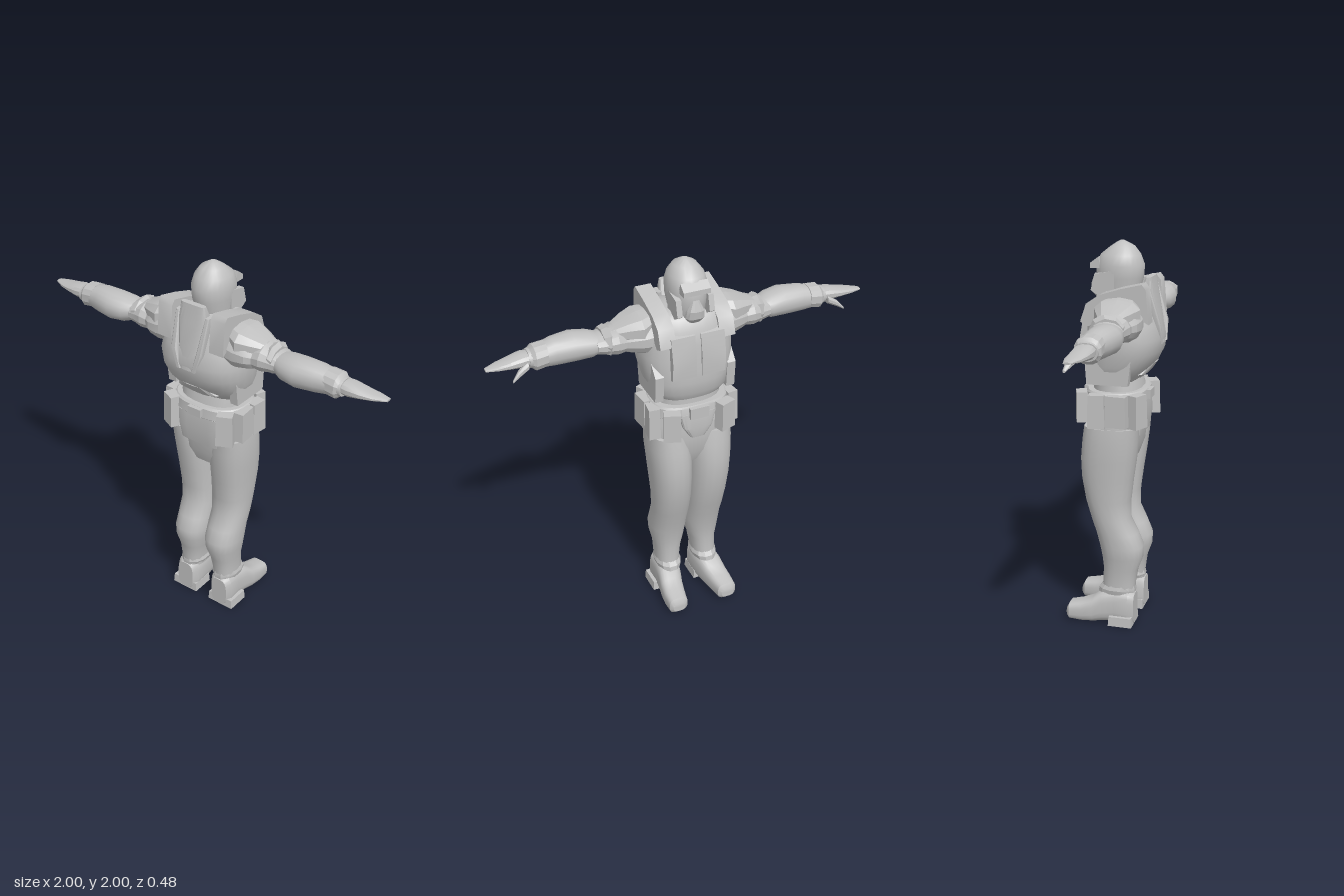
import * as THREE from 'three';
import { toCreasedNormals } from 'three/addons/utils/BufferGeometryUtils.js';

const grey = new THREE.MeshStandardMaterial({ color: 0xc0c0c0 });
grey.name = 'plain grey';

// Closed skin through rounded-box rings; each ring is [t, u0, u1, v0, v1].
// Axis y: u = x, v = z.  Axis x: u = z, v = y.  Axis z: u = y, v = x.
function loft(axis, rings, power = 2.4, n = 20) {
  const pos = [], idx = [];
  const put = (t, u, v) => pos.push(...(axis === 'y' ? [u, t, v] : axis === 'x' ? [t, v, u] : [v, u, t]));
  const round = (c) => Math.sign(c) * Math.pow(Math.abs(c), 2 / power);
  for (const [t, u0, u1, v0, v1] of rings) {
    for (let j = 0; j < n; j++) {
      const a = ((j + 0.5) / n) * Math.PI * 2;
      put(t, (u0 + u1) / 2 + round(Math.cos(a)) * (u1 - u0) / 2, (v0 + v1) / 2 + round(Math.sin(a)) * (v1 - v0) / 2);
    }
  }
  for (let i = 0; i < rings.length - 1; i++) {
    for (let j = 0; j < n; j++) {
      const a = i * n + j, b = i * n + (j + 1) % n;
      idx.push(a, a + n, b, b, a + n, b + n);
    }
  }
  // End caps
  for (const i of [0, rings.length - 1]) {
    const [t, u0, u1, v0, v1] = rings[i], c = pos.length / 3;
    put(t, (u0 + u1) / 2, (v0 + v1) / 2);
    for (let j = 0; j < n; j++) {
      const a = i * n + j, b = i * n + (j + 1) % n;
      idx.push(...(i ? [c, b, a] : [c, a, b]));
    }
  }
  const g = new THREE.BufferGeometry();
  g.setAttribute('position', new THREE.Float32BufferAttribute(pos, 3));
  g.setIndex(idx);
  return g;
}

// Side outline of [z, y] points, thickened between x0 and x1
function slab(points, x0, x1) {
  const shape = new THREE.Shape(points.map(([z, y]) => new THREE.Vector2(z, y)));
  const g = new THREE.ExtrudeGeometry(shape, { depth: x1 - x0, bevelEnabled: false });
  return g.rotateY(-Math.PI / 2).translate(x1, 0, 0);
}

// Box that narrows or flares towards its lower edge
function pouch(w, h, d, x, y, z, turn = 0, flare = 1) {
  const g = new THREE.BoxGeometry(w, h, d), p = g.attributes.position;
  for (let i = 0; i < p.count; i++) {
    if (p.getY(i) < 0) p.setXYZ(i, p.getX(i) * flare, p.getY(i), p.getZ(i) * flare);
  }
  return g.rotateY(turn).translate(x, y, z);
}

// Copy across x = 0 with the corner order turned back
function mirrored(g) {
  const m = (g.index ? g.toNonIndexed() : g.clone()).scale(-1, 1, 1);
  const p = m.attributes.position;
  const a = new THREE.Vector3(), b = new THREE.Vector3();
  for (let i = 0; i < p.count; i += 3) {
    a.fromBufferAttribute(p, i + 1);
    b.fromBufferAttribute(p, i + 2);
    p.setXYZ(i + 1, b.x, b.y, b.z);
    p.setXYZ(i + 2, a.x, a.y, a.z);
  }
  return m;
}

export function createModel() {
  const model = new THREE.Group();
  model.name = 'armouredFigure';
  const add = (name, g, crease = 0.75) => {
    g.deleteAttribute('uv');
    const mesh = new THREE.Mesh(toCreasedNormals(g, crease), grey);
    mesh.name = name;
    model.add(mesh);
  };
  const pair = (name, g, crease) => {
    const other = mirrored(g);
    add(name + 'Left', g, crease);
    add(name + 'Right', other, crease);
  };

  // Head, with the face towards -z
  add('head', loft('y', [
    [1.62, -0.08, 0.08, -0.06, 0.1], [1.72, -0.085, 0.085, -0.09, 0.1], [1.76, -0.088, 0.088, -0.11, 0.11],
    [1.82, -0.098, 0.098, -0.115, 0.125], [1.88, -0.1, 0.1, -0.115, 0.13], [1.93, -0.088, 0.088, -0.09, 0.11],
    [1.97, -0.058, 0.058, -0.04, 0.08], [1.99, -0.025, 0.025, -0.01, 0.045], [2, -0.005, 0.005, 0.01, 0.025],
  ], 2.1, 24));
  add('brow', slab([[-0.09, 1.92], [-0.13, 1.89], [-0.13, 1.865], [-0.07, 1.865]], -0.07, 0.07));
  add('breathingMask', loft('y', [
    [1.71, -0.035, 0.035, -0.11, -0.04], [1.74, -0.05, 0.05, -0.135, -0.04],
    [1.78, -0.045, 0.045, -0.14, -0.05], [1.83, -0.02, 0.02, -0.125, -0.06]], 3, 12), 0.4);
  pair('cheekGuard', slab([[0.0, 1.86], [-0.1, 1.84], [-0.12, 1.76], [-0.06, 1.72], [0.0, 1.76]], 0.07, 0.098));

  // Chest armour
  add('chest', loft('y', [
    [1.3, -0.17, 0.17, -0.13, 0.1], [1.34, -0.205, 0.205, -0.15, 0.14], [1.4, -0.222, 0.222, -0.155, 0.195],
    [1.46, -0.235, 0.235, -0.157, 0.225], [1.53, -0.24, 0.24, -0.15, 0.235], [1.6, -0.23, 0.23, -0.145, 0.22],
    [1.68, -0.215, 0.215, -0.13, 0.19], [1.73, -0.19, 0.19, -0.1, 0.17], [1.76, -0.13, 0.13, -0.06, 0.14],
  ], 2.5, 28));
  pair('chestPlate', slab([[-0.08, 1.68], [-0.14, 1.66], [-0.163, 1.54], [-0.16, 1.44], [-0.08, 1.42]], 0.015, 0.14));
  pair('shoulderStrap', slab([
    [0.2, 1.62], [0.185, 1.79], [0.165, 1.815], [0.06, 1.79], [-0.05, 1.755], [-0.115, 1.71],
    [-0.145, 1.62], [-0.1, 1.6], [0, 1.68], [0.1, 1.68]], 0.115, 0.197));

  // Back plate: raised collar, two long ridges and a lower pad
  add('backCollar', loft('y', [
    [1.5, -0.04, 0.04, 0.15, 0.235], [1.62, -0.065, 0.065, 0.12, 0.22],
    [1.74, -0.085, 0.085, 0.11, 0.195], [1.83, -0.07, 0.07, 0.15, 0.18]], 4, 16), 0.4);
  pair('backRidge', loft('y', [
    [1.5, 0.03, 0.06, 0.15, 0.238], [1.6, 0.055, 0.095, 0.13, 0.235], [1.78, 0.075, 0.1, 0.12, 0.18]], 4, 12), 0.4);
  add('lowerBackPad', loft('y', [
    [1.32, -0.07, 0.07, 0.04, 0.13], [1.35, -0.13, 0.13, 0.05, 0.165], [1.4, -0.07, 0.07, 0.1, 0.2]], 3, 16), 0.4);
  pair('sidePlate', slab([[0.13, 1.55], [0.1, 1.31], [-0.11, 1.31], [-0.12, 1.45], [0, 1.58]], 0.17, 0.215));

  // Arms with bunched sleeves
  pair('upperArm', loft('x', [
    [0.16, -0.07, 0.17, 1.53, 1.73], [0.23, -0.07, 0.18, 1.53, 1.72], [0.29, -0.05, 0.17, 1.545, 1.7],
    [0.32, -0.035, 0.15, 1.555, 1.685], [0.36, -0.045, 0.155, 1.55, 1.7], [0.41, -0.03, 0.14, 1.56, 1.68],
    [0.46, -0.015, 0.135, 1.57, 1.665]], 2.1, 14), 0.4);
  pair('shoulderPad', loft('x', [
    [0.19, -0.04, 0.15, 1.62, 1.75], [0.24, -0.065, 0.175, 1.6, 1.745],
    [0.3, -0.04, 0.15, 1.62, 1.725], [0.38, 0, 0.1, 1.64, 1.69]], 2.6, 10), 0.3);
  pair('sleeveFold', loft('x', [
    [0.37, -0.01, 0.12, 1.56, 1.69], [0.4, -0.04, 0.14, 1.55, 1.705], [0.425, -0.02, 0.14, 1.56, 1.69]], 2, 9), 0.3);
  pair('forearm', loft('x', [
    [0.43, -0.005, 0.13, 1.575, 1.665], [0.48, -0.01, 0.155, 1.555, 1.68], [0.56, -0.005, 0.168, 1.548, 1.69],
    [0.66, 0, 0.145, 1.55, 1.687], [0.73, 0.005, 0.125, 1.557, 1.67], [0.79, 0.01, 0.12, 1.57, 1.655]], 2.2, 18));
  pair('cuff', loft('x', [
    [0.7, 0, 0.13, 1.56, 1.68], [0.76, -0.002, 0.13, 1.55, 1.675], [0.785, 0.015, 0.115, 1.575, 1.65]], 2.4, 12), 0.4);
  pair('hand', loft('x', [
    [0.77, 0.015, 0.11, 1.585, 1.65], [0.82, 0.01, 0.115, 1.582, 1.65], [0.88, 0.01, 0.105, 1.59, 1.636],
    [0.94, 0.012, 0.09, 1.598, 1.625], [1, 0.025, 0.06, 1.605, 1.615]], 2.4, 12), 0.5);
  pair('thumb', loft('x', [
    [0.8, 0.0, 0.05, 1.575, 1.62], [0.85, -0.012, 0.025, 1.555, 1.59], [0.885, -0.015, 0.0, 1.538, 1.55]], 2, 8), 0.6);

  // Waist, belt and pouches
  add('waist', loft('y', [
    [1.18, -0.18, 0.18, -0.13, 0.14], [1.26, -0.17, 0.17, -0.12, 0.13], [1.33, -0.17, 0.17, -0.12, 0.11]]));
  add('belt', loft('y', [
    [1.2, -0.205, 0.205, -0.15, 0.155], [1.205, -0.21, 0.21, -0.155, 0.16],
    [1.255, -0.205, 0.205, -0.15, 0.155], [1.265, -0.195, 0.195, -0.145, 0.145]], 2.6, 28), 0.4);
  add('backBuckle', pouch(0.08, 0.045, 0.03, 0, 1.232, 0.16));
  add('frontBuckle', pouch(0.1, 0.06, 0.03, 0, 1.23, -0.155));
  pair('rearPouch', pouch(0.08, 0.17, 0.06, 0.165, 1.175, 0.135, 0.45, 1.12));
  pair('hipPouch', pouch(0.06, 0.16, 0.1, 0.208, 1.18, 0.045, 0.08, 1.12));
  pair('sidePouch', pouch(0.055, 0.17, 0.08, 0.21, 1.175, -0.06, -0.12, 1.1));
  pair('frontPouch', pouch(0.085, 0.155, 0.055, 0.145, 1.18, -0.155, -0.35, 1.05));
  add('frontFlap', loft('y', [
    [1.08, -0.04, 0.04, -0.155, -0.1], [1.14, -0.08, 0.08, -0.165, -0.1], [1.22, -0.1, 0.1, -0.155, -0.1]], 4, 16), 0.4);
  add('rearFlap', loft('y', [
    [1.03, -0.115, 0.115, 0.08, 0.14], [1.12, -0.125, 0.125, 0.08, 0.155], [1.2, -0.13, 0.13, 0.08, 0.15]], 5, 16), 0.4);

  // Trousers
  add('hips', loft('y', [
    [0.9, -0.15, 0.15, -0.1, 0.1], [0.97, -0.205, 0.205, -0.13, 0.125], [1.06, -0.22, 0.22, -0.138, 0.135],
    [1.15, -0.21, 0.21, -0.14, 0.145], [1.22, -0.19, 0.19, -0.13, 0.14]], 2.6, 24));
  pair('leg', loft('y', [
    [0.16, 0.045, 0.17, -0.06, 0.115], [0.22, 0.042, 0.172, -0.055, 0.118], [0.3, 0.03, 0.175, -0.052, 0.13],
    [0.37, 0.01, 0.19, -0.06, 0.155], [0.43, 0.003, 0.195, -0.072, 0.157], [0.5, 0.003, 0.194, -0.09, 0.128],
    [0.58, 0.002, 0.198, -0.115, 0.088], [0.68, 0, 0.203, -0.145, 0.09], [0.8, 0, 0.213, -0.165, 0.105],
    [0.9, 0, 0.22, -0.168, 0.12], [1, 0.005, 0.226, -0.158, 0.132], [1.08, 0.03, 0.222, -0.145, 0.137]], 2.3, 20), 0.9);
  pair('trouserCuff', loft('y', [
    [0.165, 0.045, 0.172, -0.08, 0.118], [0.19, 0.035, 0.178, -0.075, 0.122], [0.22, 0.045, 0.17, -0.05, 0.115]], 2.2, 12), 0.4);

  // Boots, toes turned slightly outwards
  pair('boot', loft('z', [
    [-0.24, 0.02, 0.07, 0.11, 0.18], [-0.225, 0.005, 0.098, 0.092, 0.197], [-0.16, 0, 0.112, 0.08, 0.2],
    [-0.1, 0, 0.135, 0.068, 0.195], [-0.05, 0.004, 0.175, 0.055, 0.188], [0.02, 0.006, 0.19, 0.045, 0.18],
    [0.09, 0, 0.19, 0.045, 0.182], [0.12, 0.005, 0.17, 0.065, 0.165]], 3.2, 20), 0.6);
  pair('heel', pouch(0.15, 0.05, 0.12, 0.122, 0.025, 0.055, 0, 1.05));

  return model;
}
